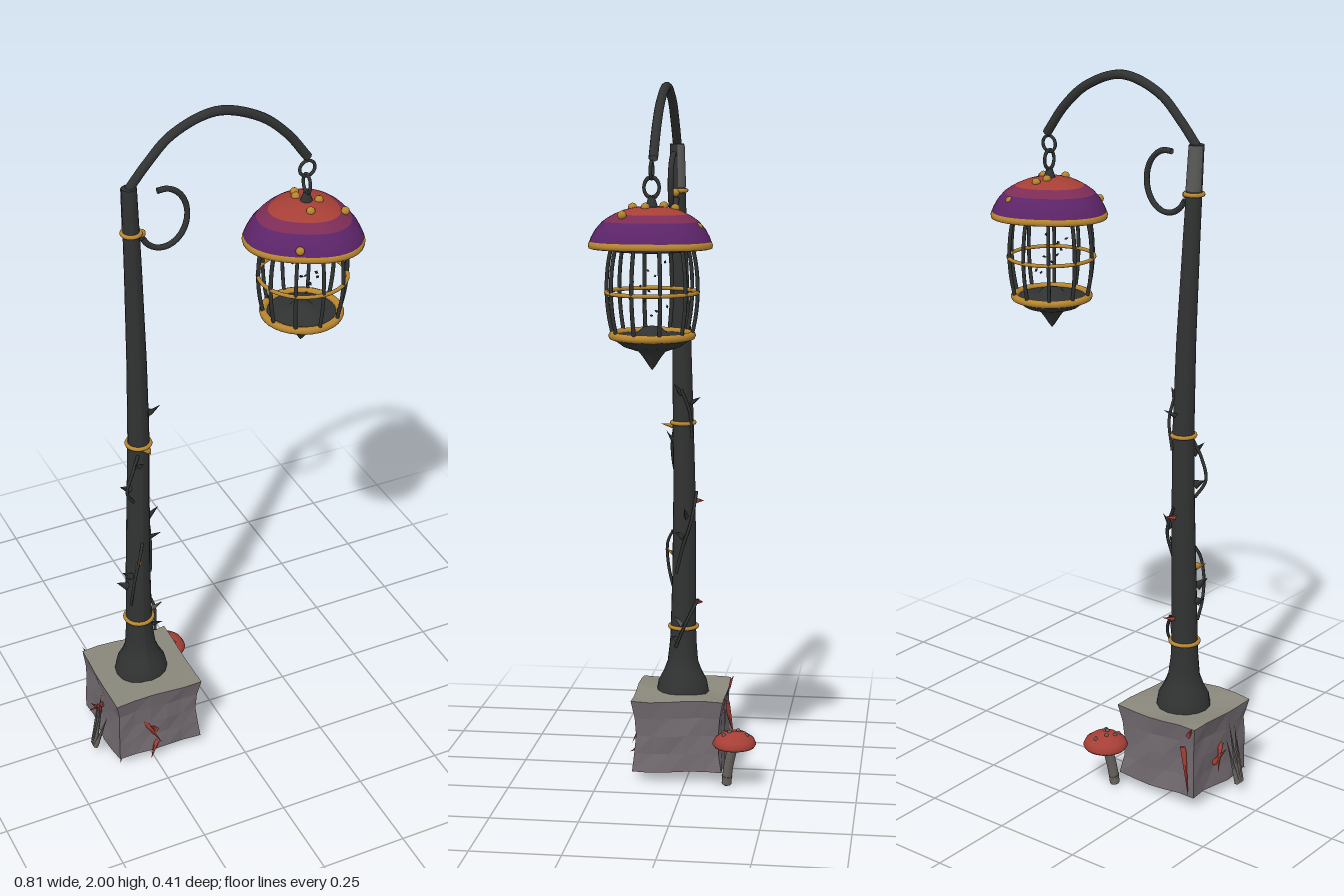
import * as THREE from 'three';
import { mergeVertices } from 'three/addons/utils/BufferGeometryUtils.js';

const V = (x, y, z) => new THREE.Vector3(x, y, z);
const mat = (name, color, extra = {}) =>
  Object.assign(new THREE.MeshStandardMaterial({ color, side: THREE.DoubleSide, ...extra }), { name });

export function createModel() {
  const iron = mat('iron', 0x313332), gold = mat('gold', 0xb8862f), purple = mat('purple', 0x5c2468);
  const plum = mat('plum', 0x7c2c55), red = mat('red', 0xa63f36), worn = mat('wornIron', 0x5a5b58);
  const stone = mat('stone', 0x726a6f, { flatShading: true });
  const stoneTop = mat('stoneTop', 0x89877b, { flatShading: true });
  const stalk = mat('stalkGrey', 0x68645f);

  const model = new THREE.Group();
  model.name = 'lanternPost';
  const add = (name, geo, m, p = [0, 0, 0], parent = model) => {
    const mesh = new THREE.Mesh(geo, m);
    mesh.name = name;
    mesh.position.set(...p);
    parent.add(mesh);
    return mesh;
  };
  const tube = (pts, r, seg = 24, sides = 8) =>
    new THREE.TubeGeometry(new THREE.CatmullRomCurve3(pts.map(p => V(...p))), seg, r, sides);
  const lathe = (pts, seg = 40) => new THREE.LatheGeometry(pts.map(p => new THREE.Vector2(...p)), seg);
  const ring = (name, r, t, p, m = gold, parent = model) => {
    const o = add(name, new THREE.TorusGeometry(r, t, 8, 32), m, p, parent);
    o.rotation.x = Math.PI / 2;
    return o;
  };
  // Tapered spike from a to b
  const spike = (name, a, b, r, m, sides = 5, tip = 0) => {
    const A = V(...a), B = V(...b), d = B.clone().sub(A);
    const o = add(name, new THREE.CylinderGeometry(tip, r, d.length(), sides), m);
    o.position.copy(A).add(B).multiplyScalar(0.5);
    o.quaternion.setFromUnitVectors(V(0, 1, 0), d.normalize());
    return o;
  };

  // Rough stone block, dented on every face; group 2 of the box is its top
  const block = new THREE.BoxGeometry(0.27, 0.212, 0.27, 5, 4, 5);
  const bp = block.attributes.position;
  for (let i = 0; i < bp.count; i++) {
    const x = bp.getX(i), y = bp.getY(i), z = bp.getZ(i);
    const w = Math.sin(x * 31 + y * 17 + 1) * Math.cos(z * 27 - y * 23);
    const k = 1 - 0.04 * (1 + w) - (Math.abs(y) < 0.08 ? 0.04 : 0);
    const top = y > 0.1 ? 0.985 + 0.015 * w : k;
    bp.setXYZ(i, x * top, y + 0.005 * Math.sin(x * 23 + z * 19), z * top);
  }
  block.computeVertexNormals();
  add('stoneBlock', block, [stone, stone, stoneTop, stone, stone, stone], [-0.233, 0.137, 0.024]);

  // Leaning post: stations of [y, x, z, radius]
  const stations = [[0.24, -0.231, 0.022, 0.077], [0.265, -0.231, 0.022, 0.075], [0.29, -0.231, 0.022, 0.06],
    [0.33, -0.232, 0.022, 0.045], [0.4, -0.234, 0.021, 0.038], [0.6, -0.232, 0.018, 0.035],
    [0.85, -0.226, 0.017, 0.032], [1.05, -0.222, 0.02, 0.03], [1.3, -0.224, 0.025, 0.027],
    [1.6, -0.232, 0.034, 0.023], [1.83, -0.24, 0.04, 0.02]];
  const at = y => {
    let i = 0;
    while (i < stations.length - 2 && y > stations[i + 1][0]) i++;
    const a = stations[i], b = stations[i + 1], t = (y - a[0]) / (b[0] - a[0]);
    return a.map((v, k) => v + (b[k] - v) * t);
  };
  const postPiece = (y0, y1, grow, start, sweep, rows, open) => {
    const g = new THREE.CylinderGeometry(1, 1, y1 - y0, 16, rows, open, start, sweep);
    const p = g.attributes.position;
    for (let i = 0; i < p.count; i++) {
      const y = Math.min(y1, Math.max(y0, p.getY(i) + (y0 + y1) / 2)), s = at(y);
      p.setXYZ(i, s[1] + p.getX(i) * (s[3] + grow), y, s[2] + p.getZ(i) * (s[3] + grow));
    }
    g.deleteAttribute('uv');
    g.computeVertexNormals();
    return g;
  };
  add('post', postPiece(0.24, 1.83, 0, 0, Math.PI * 2, 53, false), iron);
  add('wornPatch', postPiece(1.71, 1.828, 0.0015, Math.PI * 0.55, Math.PI * 0.9, 3, true), worn);
  for (const y of [0.435, 1.04, 1.7]) {
    const s = at(y);
    ring('postBand', s[3] + 0.002, 0.006, [s[1], y, s[2]]);
  }

  // Arched arm and curled hook
  add('arm', tube([[-0.241, 1.825, 0.039], [-0.19, 1.885, 0.038], [-0.12, 1.95, 0.037], [0, 1.988, 0.036],
    [0.12, 1.95, 0.036], [0.2, 1.885, 0.036], [0.262, 1.805, 0.036]], 0.0125, 40, 10), iron);
  const curl = [];
  for (let i = 0; i <= 12; i++) {
    const a = -2.6 + i * 0.365;
    curl.push([-0.148 + 0.068 * Math.cos(a), 1.722 + 0.083 * Math.sin(a), 0.037]);
  }
  add('curledHook', tube(curl, 0.008, 36), iron);
  add('hookBud', new THREE.SphereGeometry(0.011, 8, 6), gold, [-0.208, 1.695, 0.04]);

  // Hanging lantern, built around its own axis
  const lantern = new THREE.Group();
  lantern.name = 'lantern';
  lantern.position.set(0.255, 0, 0.041);
  model.add(lantern);
  add('upperLink', new THREE.TorusGeometry(0.022, 0.0045, 8, 24), iron, [0.004, 1.775, 0], lantern);
  const link = add('lowerLink', new THREE.TorusGeometry(0.02, 0.0045, 8, 24), iron, [0.004, 1.731, 0], lantern);
  link.rotation.y = Math.PI / 2;
  link.scale.y = 1.3;
  add('finial', new THREE.CylinderGeometry(0.008, 0.02, 0.035, 10), iron, [0.004, 1.69, 0], lantern);

  // Cap with three soft corners
  const lobe = a => 1 - 0.07 * Math.cos(3 * a);
  const warp = g => {
    const p = g.attributes.position;
    for (let i = 0; i < p.count; i++) {
      const x = p.getX(i), z = p.getZ(i), k = lobe(Math.atan2(z, x));
      p.setXYZ(i, x * k, p.getY(i), z * k);
    }
    g.deleteAttribute('uv');
    g.deleteAttribute('normal');
    const m = mergeVertices(g);
    m.computeVertexNormals();
    return m;
  };
  const R = 0.156;
  const cap = (name, m, pts) => add(name, warp(lathe(pts.map(([r, y]) => [r * R, y]), 48)), m, [0, 0, 0], lantern);
  cap('capUnderside', purple, [[0, 1.605], [0.6, 1.59], [0.98, 1.583]]);
  cap('capRim', gold, [[0.97, 1.575], [1.01, 1.577], [1.02, 1.585], [1.0, 1.594], [0.96, 1.594], [0.97, 1.575]]);
  cap('capOuter', purple, [[1.0, 1.592], [0.97, 1.605], [0.9, 1.625], [0.79, 1.645]]);
  cap('capMiddle', plum, [[0.79, 1.645], [0.7, 1.655], [0.6, 1.664]]);
  cap('capCrown', red, [[0.6, 1.664], [0.45, 1.674], [0.25, 1.681], [0, 1.683]]);
  const knobs = [[0, -0.061, 1.678], [-0.012, -0.03, 1.683], [0.035, 0.012, 1.682], [-0.01, 0.052, 1.679],
    [0.085, 0.065, 1.664], [0.04, -0.126, 1.632], [-0.075, 0.122, 1.612]];
  for (const [x, z, y] of knobs) add('capKnob', new THREE.IcosahedronGeometry(0.012, 1), gold, [x, y, z], lantern);

  // Cage of bowed bars with hoops
  for (let i = 0; i < 10; i++) {
    const a = (i + 0.5) * Math.PI / 5, c = Math.cos(a), s = Math.sin(a);
    const pts = [[0.104, 1.59], [0.116, 1.53], [0.12, 1.46], [0.115, 1.4], [0.103, 1.34]];
    add('cageBar', tube(pts.map(([r, y]) => [r * c, y, r * s]), 0.0055, 14, 6), iron, [0, 0, 0], lantern);
  }
  ring('middleHoop', 0.12, 0.0055, [0, 1.46, 0], gold, lantern);
  ring('topHoop', 0.105, 0.007, [0, 1.575, 0], iron, lantern);
  ring('bottomHoop', 0.104, 0.011, [0, 1.347, 0], gold, lantern);
  add('bowl', lathe([[0, 1.255], [0.008, 1.265], [0.024, 1.29], [0.036, 1.305], [0.075, 1.318], [0.105, 1.34],
    [0.1, 1.347], [0.04, 1.352], [0.025, 1.368], [0, 1.373]]), iron, [0, 0, 0], lantern);

  // Drifting flecks inside the cage
  for (let i = 0; i < 12; i++) {
    const a = i * 2.4, r = 0.012 + 0.0035 * i;
    const f = add('fleck', new THREE.OctahedronGeometry(0.007), iron,
      [r * Math.cos(a), 1.4 + 0.0125 * ((i * 5) % 12), r * Math.sin(a)], lantern);
    f.scale.set(1, 0.5, 0.7);
    f.rotation.set(a, a * 2, 0);
  }

  // Thorny vines: each point is [y, angle, distance from the post skin]
  const skin = ([y, a, d]) => {
    const s = at(y);
    return [s[1] + Math.cos(a) * (s[3] + d), y, s[2] + Math.sin(a) * (s[3] + d)];
  };
  const vines = [
    [[1.02, 2.0, 0], [0.97, 2.3, 0.02], [0.91, 2.5, 0.03], [0.86, 2.4, 0]],
    [[0.72, 1.6, 0], [0.68, 1.9, 0.02], [0.62, 2.1, 0.025], [0.55, 2.3, 0.015], [0.5, 2.6, 0]],
    [[1.14, 0, 0.005], [1.08, -0.6, 0.01], [1.0, -1, 0.002]],
    [[0.84, -1.4, 0.005], [0.76, -0.6, 0.012], [0.68, 0, 0.004], [0.6, 0.6, 0]],
    [[0.52, -1.2, 0.01], [0.45, -0.2, 0.015], [0.38, 0.4, 0.005]]];
  for (const v of vines) add('vine', tube(v.map(skin), 0.0045, 20, 6), iron);
  const leaves = [[1.13, 0.1, iron], [1.1, -1.3, iron], [1.03, 1.2, gold], [0.98, 1.9, iron], [0.9, 2.7, iron],
    [0.81, -1.4, red], [0.77, -0.3, iron], [0.71, 0.1, iron], [0.65, 1.9, gold], [0.6, 2.5, iron],
    [0.56, 2.9, iron], [0.51, -1.3, red], [0.45, 0.1, stalk], [0.4, 0.3, iron]];
  leaves.forEach(([y, a, m], i) => {
    const o = spike('leaf', skin([y, a, 0]), skin([y + 0.03 - 0.012 * (i % 3), a + 0.2, 0.032]), 0.014, m, 4);
    o.scale.z = 0.5;
  });

  // Red thorns and grey shards around the stone
  const thorns = [[[-0.275, 0.14, 0.14], [-0.235, 0.07, 0.175]], [[-0.24, 0.06, 0.15], [-0.275, 0.03, 0.186]],
    [[-0.355, 0.1, 0], [-0.39, 0.15, 0.012]], [[-0.355, 0.15, 0.03], [-0.385, 0.09, -0.02]],
    [[-0.34, 0.22, -0.1], [-0.36, 0.252, -0.115]], [[-0.32, 0.18, -0.1], [-0.355, 0.04, -0.12]],
    [[-0.33, 0.06, 0.12], [-0.36, 0.02, 0.155]], [[-0.24, 0.1, 0.145], [-0.265, 0.135, 0.162]]];
  for (const [a, b] of thorns) spike('thorn', a, b, 0.009, red);
  for (const [z, y, x] of [[0.03, 0.17, -0.375], [0.05, 0.21, -0.37], [0.07, 0.2, -0.375], [0.09, 0.15, -0.37]])
    spike('shard', [-0.402, 0.03, 0.06 + (z - 0.06) * 0.3], [x, y, z], 0.008, stalk);

  // Mushroom beside the stone, with dark warts
  add('mushroomStem', tube([[-0.098, 0.005, -0.122], [-0.092, 0.06, -0.128], [-0.083, 0.14, -0.146]], 0.014, 12), stalk);
  spike('mushroomRoot', [-0.096, 0.03, -0.124], [-0.099, 0, -0.12], 0.016, stalk, 8, 0.006);
  add('mushroomCap', lathe([[0, 0.137], [0.03, 0.132], [0.058, 0.124], [0.063, 0.132], [0.056, 0.147],
    [0.035, 0.162], [0, 0.168]], 24), red, [-0.083, 0, -0.146]);
  for (const [x, z, y] of [[-0.012, -0.01, 0.167], [0.004, 0.014, 0.167], [-0.025, 0.012, 0.163],
    [0.006, -0.036, 0.16], [0.02, 0.028, 0.161], [-0.02, 0.034, 0.158]])
    add('wart', new THREE.SphereGeometry(0.006, 8, 6), stalk, [-0.083 + x, y, -0.146 + z]);

  return model;
}
